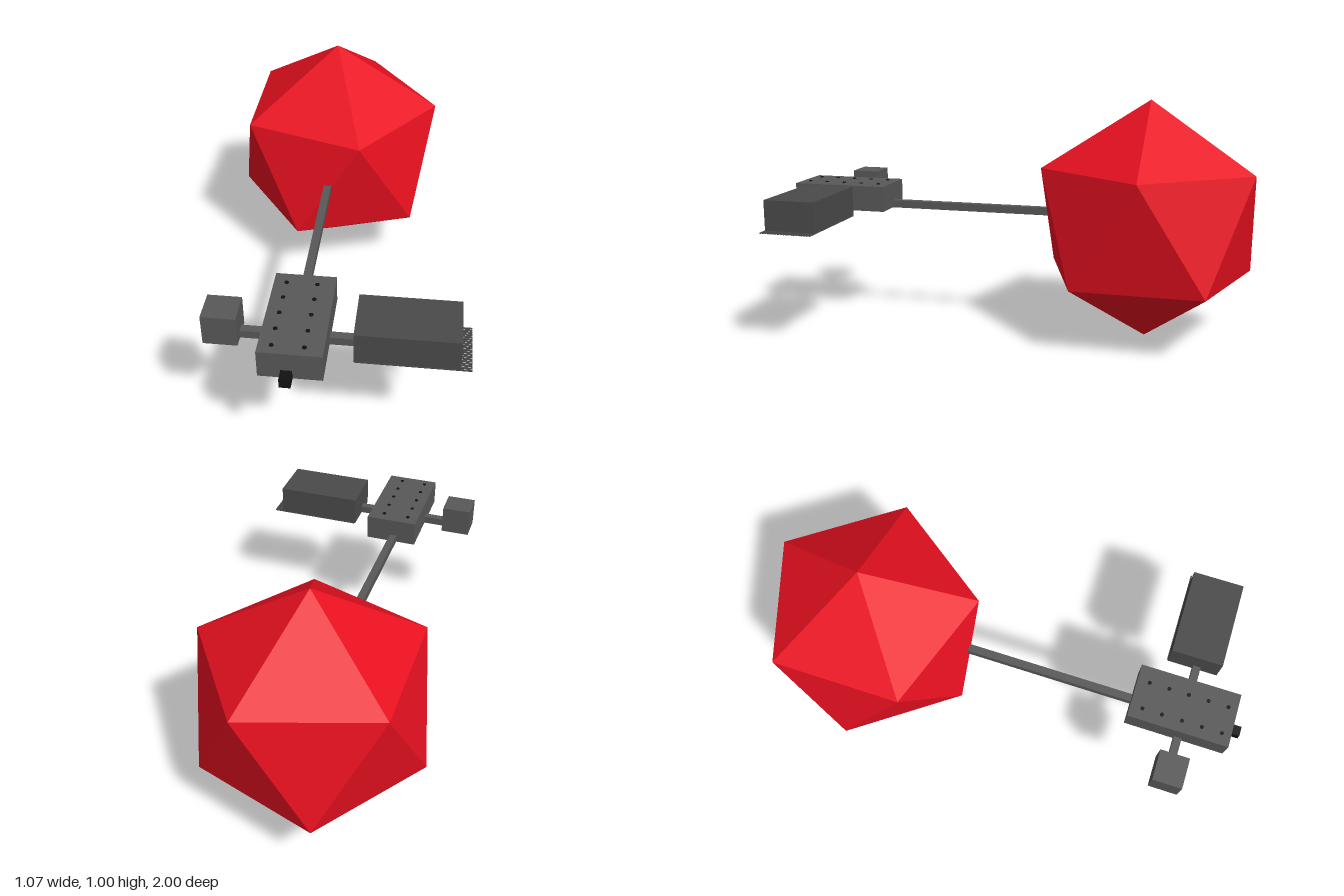
import * as THREE from 'three';
import { ConvexGeometry } from 'three/addons/geometries/ConvexGeometry.js';

export function createModel() {
  const model = new THREE.Group();
  const paint = (color) => new THREE.MeshStandardMaterial({ color, flatShading: true });
  const red = paint(0xe81020);
  const grey = paint(0x585858);
  const darkGrey = paint(0x4a4a4a);
  const black = paint(0x111111);

  const add = (name, geometry, material, x, y, z, parent = model) => {
    const mesh = new THREE.Mesh(geometry, material);
    mesh.name = name;
    mesh.position.set(x, y, z);
    parent.add(mesh);
    return mesh;
  };

  // Box given by its extents on each axis
  const block = (name, material, [x0, x1], [y0, y1], [z0, z1], parent) =>
    add(name, new THREE.BoxGeometry(x1 - x0, y1 - y0, z1 - z0), material,
      (x0 + x1) / 2, (y0 + y1) / 2, (z0 + z1) / 2, parent);

  const group = (name) => {
    const g = new THREE.Group();
    g.name = name;
    model.add(g);
    return g;
  };

  const axisX = -0.09;

  // Icosahedral sail: two poles and two staggered rings of five
  const R = 0.498, ring = R * 2 / Math.sqrt(5), rise = R / Math.sqrt(5);
  const points = [new THREE.Vector3(0, R, 0), new THREE.Vector3(0, -R, 0)];
  for (let i = 0; i < 5; i++) {
    const a = i * Math.PI * 0.4;
    const c = Math.cos(a) * ring, s = Math.sin(a) * ring;
    points.push(new THREE.Vector3(c, rise, s), new THREE.Vector3(-c, -rise, -s));
  }
  add('icosahedron', new ConvexGeometry(points), red, axisX, 0.502, -0.577);

  // Long boom and the cross bar
  block('boom', grey, [axisX - 0.016, axisX + 0.016], [0.503, 0.535], [-0.157, 0.56]);
  block('crossBar', grey, [-0.29, 0.13], [0.503, 0.535], [0.75, 0.782]);

  // Central body with the black nose
  block('body', grey, [-0.191, 0.034], [0.503, 0.612], [0.545, 0.957]);
  block('nose', black, [axisX - 0.02, axisX + 0.02], [0.5, 0.538], [0.955, 1]);

  // Studs run through the body in two rows of five
  const studs = group('studs');
  const studGeometry = new THREE.CylinderGeometry(0.008, 0.008, 0.119, 10);
  for (const x of [-0.144, -0.032])
    for (let i = -2; i <= 2; i++)
      add('stud', studGeometry, black, x, 0.5555, 0.757 + i * 0.081, studs);

  // Side boxes
  block('smallBox', grey, [-0.41, -0.285], [0.503, 0.625], [0.705, 0.824]);
  block('largeBox', darkGrey, [0.125, 0.492], [0.5, 0.625], [0.645, 0.856]);

  // Fine flat prongs fan out from under the large box
  const prongs = group('prongs');
  for (let i = 0; i < 20; i++) {
    const z = 0.643 + i * 0.011;
    block('prong', darkGrey, [0.13, 0.532], [0.499, 0.503], [z, z + 0.006], prongs);
  }
  return model;
}
